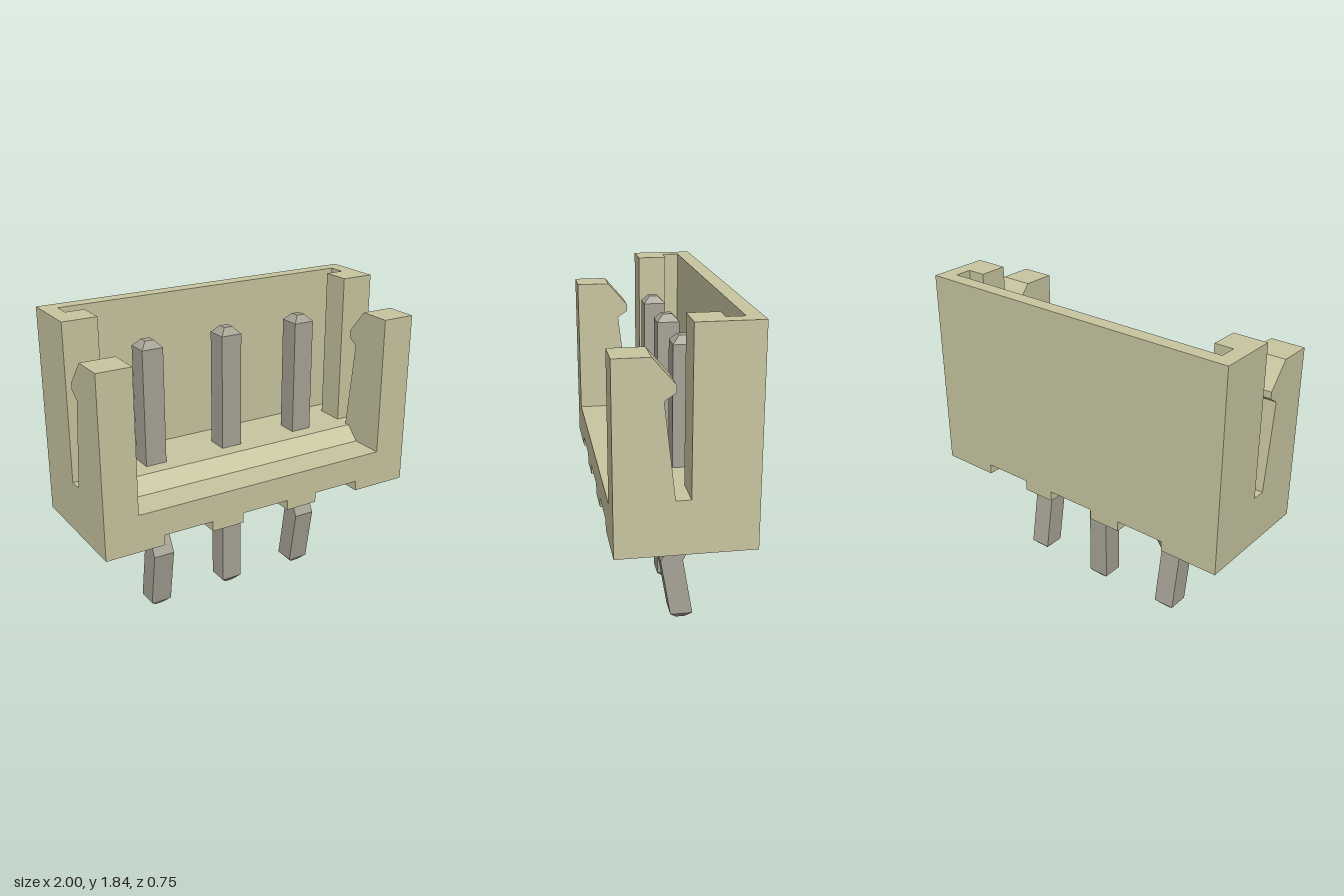
import * as THREE from 'three';

const shapeOf = (pts) => new THREE.Shape(pts.map(([a, b]) => new THREE.Vector2(a, b)));
const extrude = (pts, depth) =>
  new THREE.ExtrudeGeometry(shapeOf(pts), { depth, bevelEnabled: false });
// Profile given as [z, y], swept along x from x0 to x1
const sweepX = (pts, x0, x1) =>
  extrude(pts, x1 - x0).rotateY(-Math.PI / 2).translate(x1, 0, 0);

// Square bar lofted through sections [y, centre z, half width], listed bottom to top
function squareLoft(sections) {
  const corners = [[-1, 1], [1, 1], [1, -1], [-1, -1]];
  const rings = sections.map(([y, z, h]) => corners.map(([cx, cz]) => [cx * h, y, z + cz * h]));
  const pos = [];
  const quad = (a, b, c, d) => pos.push(...a, ...b, ...c, ...a, ...c, ...d);
  for (let i = 0; i < rings.length - 1; i++) {
    for (let k = 0; k < 4; k++) {
      const n = (k + 1) % 4;
      quad(rings[i][k], rings[i][n], rings[i + 1][n], rings[i + 1][k]);
    }
  }
  const [a, b, c, d] = rings[0];
  quad(d, c, b, a);
  quad(...rings[rings.length - 1]);
  const geo = new THREE.BufferGeometry();
  geo.setAttribute('position', new THREE.Float32BufferAttribute(pos, 3));
  geo.computeVertexNormals();
  return geo;
}

export function createModel() {
  const model = new THREE.Group();
  model.name = 'pinHeader';
  const plastic = new THREE.MeshStandardMaterial({ color: 0xc8c5a0 });
  plastic.name = 'beige plastic';
  const metal = new THREE.MeshStandardMaterial({ color: 0xa7a396 });
  metal.name = 'grey metal';

  const housing = new THREE.Group();
  housing.name = 'housing';
  model.add(housing);
  const add = (parent, name, geo, mat) => {
    const mesh = new THREE.Mesh(geo, mat);
    mesh.name = name;
    parent.add(mesh);
    return mesh;
  };

  // Base slab with three channels across its underside
  const base = [[-1, 0.64]];
  for (const x of [-0.5, 0, 0.5]) {
    base.push([x - 0.15, 0.64], [x - 0.15, 0.7], [x + 0.15, 0.7], [x + 0.15, 0.64]);
  }
  base.push([1, 0.64], [1, 0.86], [-1, 0.86]);
  add(housing, 'base', extrude(base, 0.75).translate(0, 0, -0.375), plastic);

  // Raised floor with a sloping front lip
  add(housing, 'floor', sweepX(
    [[-0.19, 0.86], [0.175, 0.86], [0.09, 0.94], [-0.19, 0.94]], -0.8, 0.8), plastic);
  add(housing, 'grooveFloor', new THREE.BoxGeometry(1.82, 0.08, 0.1)
    .translate(0, 0.9, -0.24), plastic);

  // Back wall with grooved returns at both ends
  const half = [[1, -0.375], [1, -0.02], [0.8, -0.02], [0.8, -0.19], [0.91, -0.19], [0.91, -0.29]];
  const wall = [...half, ...half.map(([x, z]) => [-x, z]).reverse()];
  add(housing, 'backWall', extrude(wall, 0.98).rotateX(Math.PI / 2).translate(0, 1.84, 0), plastic);

  // Latch posts at the front corners
  const latch = [[-0.02, 0.86], [0.375, 0.86], [0.375, 1.68], [0.18, 1.68], [0.06, 1.54],
    [0.06, 1.5], [0.12, 1.46], [0.06, 0.94], [-0.02, 0.94]];
  add(housing, 'leftLatch', sweepX(latch, 0.8, 1), plastic);
  add(housing, 'rightLatch', sweepX(latch, -1, -0.8), plastic);

  // Pins: straight in the middle, kinked legs on the outside
  const h = 0.0635, z = -0.0625;
  const top = [[1.62, z, h], [1.66, z, 0.026]];
  const straight = squareLoft([[0, z, 0.026], [0.04, z, h], ...top]);
  const kinked = squareLoft([[0, -0.057, 0.026], [0.04, -0.057, h], [0.38, 0, h], [0.5, z, h], ...top]);
  add(model, 'middlePin', straight, metal);
  add(model, 'leftPin', kinked, metal).position.x = 0.5;
  add(model, 'rightPin', kinked, metal).position.x = -0.5;

  return model;
}
